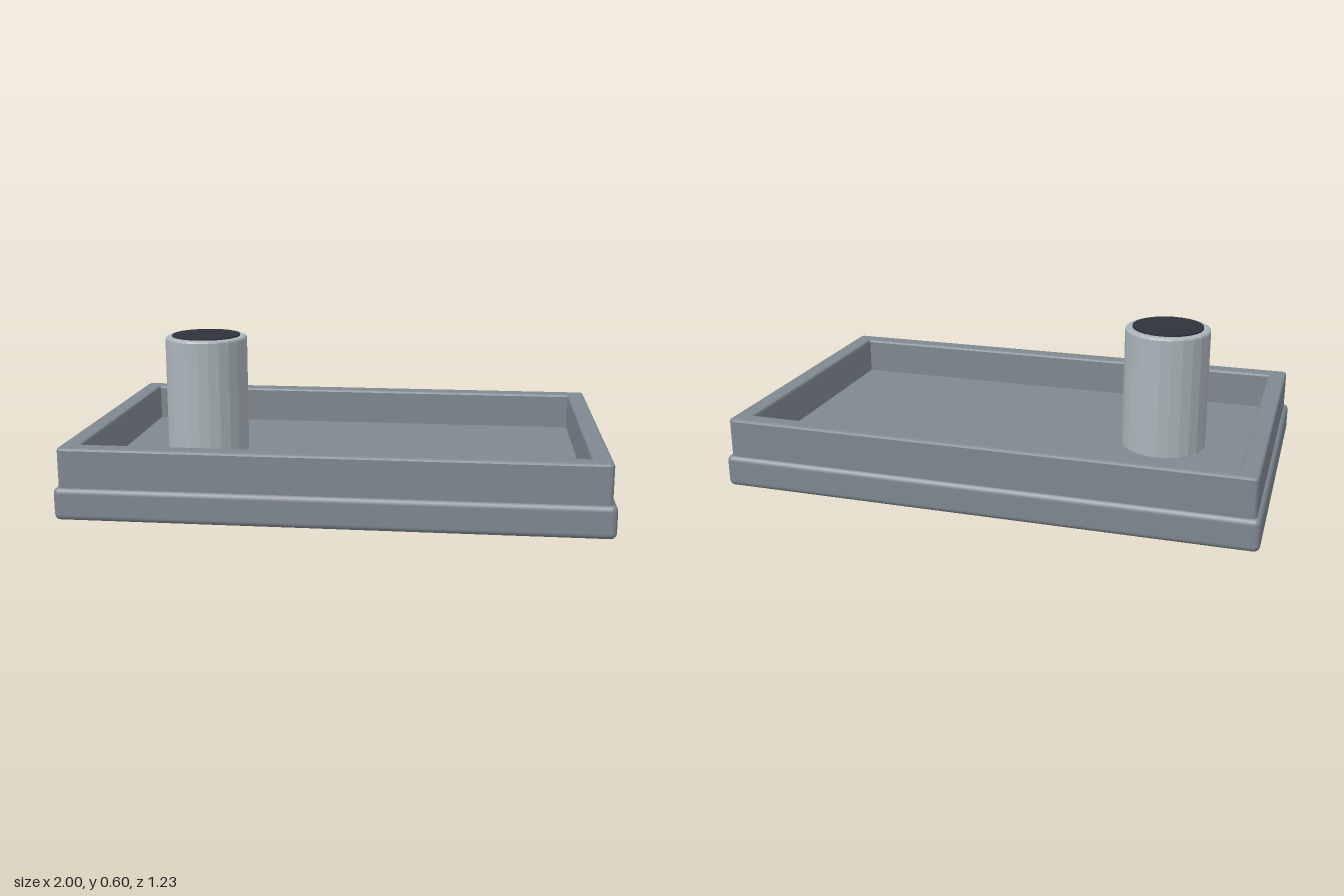
import * as THREE from 'three';
import { RoundedBoxGeometry } from 'three/addons/geometries/RoundedBoxGeometry.js';

const material = (name, color) => {
  const m = new THREE.MeshStandardMaterial({ color });
  m.name = name;
  return m;
};

// Rectangle outline centred on the origin, with softened corners
function roundedRect(path, hx, hz, r) {
  path.moveTo(-hx + r, -hz);
  path.lineTo(hx - r, -hz).quadraticCurveTo(hx, -hz, hx, -hz + r);
  path.lineTo(hx, hz - r).quadraticCurveTo(hx, hz, hx - r, hz);
  path.lineTo(-hx + r, hz).quadraticCurveTo(-hx, hz, -hx, hz - r);
  path.lineTo(-hx, -hz + r).quadraticCurveTo(-hx, -hz, -hx + r, -hz);
  return path;
}

export function createModel() {
  const model = new THREE.Group();
  const slate = material('slateGrey', 0x7f8890);
  const pale = material('paleGrey', 0xaab4b9);
  const dark = material('darkOpening', 0x2f343a);

  const add = (name, geometry, mat, x, y, z) => {
    const mesh = new THREE.Mesh(geometry, mat);
    mesh.name = name;
    mesh.position.set(x, y, z);
    model.add(mesh);
    return mesh;
  };

  // Base slab; its top is the tray floor
  const slabHeight = 0.122;
  add('baseSlab', new RoundedBoxGeometry(2, slabHeight, 1.226, 3, 0.022), slate, 0, slabHeight / 2, 0);

  // Raised rim around the floor, bevelled along the top
  const bevel = 0.01;
  const outline = roundedRect(new THREE.Shape(), 0.983 - bevel, 0.6 - bevel, 0.008);
  const opening = new THREE.Path();
  const hx = 0.912 + bevel, hz = 0.532 + bevel;
  opening.moveTo(-hx, -hz).lineTo(-hx, hz).lineTo(hx, hz).lineTo(hx, -hz).lineTo(-hx, -hz);
  outline.holes.push(opening);
  const rimBottom = 0.09, rimTop = 0.268;
  const rim = new THREE.ExtrudeGeometry(outline, {
    depth: rimTop - rimBottom - 2 * bevel,
    bevelEnabled: true, bevelSize: bevel, bevelThickness: bevel, bevelSegments: 2, curveSegments: 3,
  });
  rim.rotateX(-Math.PI / 2);
  add('rim', rim, slate, 0, rimBottom + bevel, 0);

  // Upright faceted post with a softened top edge
  const profile = [[0.162, 0.11], [0.162, 0.58], [0.159, 0.586], [0.153, 0.589], [0, 0.589]]
    .map(([r, y]) => new THREE.Vector2(r, y));
  const post = new THREE.LatheGeometry(profile, 24).toNonIndexed();
  post.computeVertexNormals();
  add('post', post, pale, -0.565, 0, 0);

  // Dark disc marking the post opening
  add('postOpening', new THREE.CylinderGeometry(0.135, 0.135, 0.008, 24), dark, -0.565, 0.591, 0);

  return model;
}
